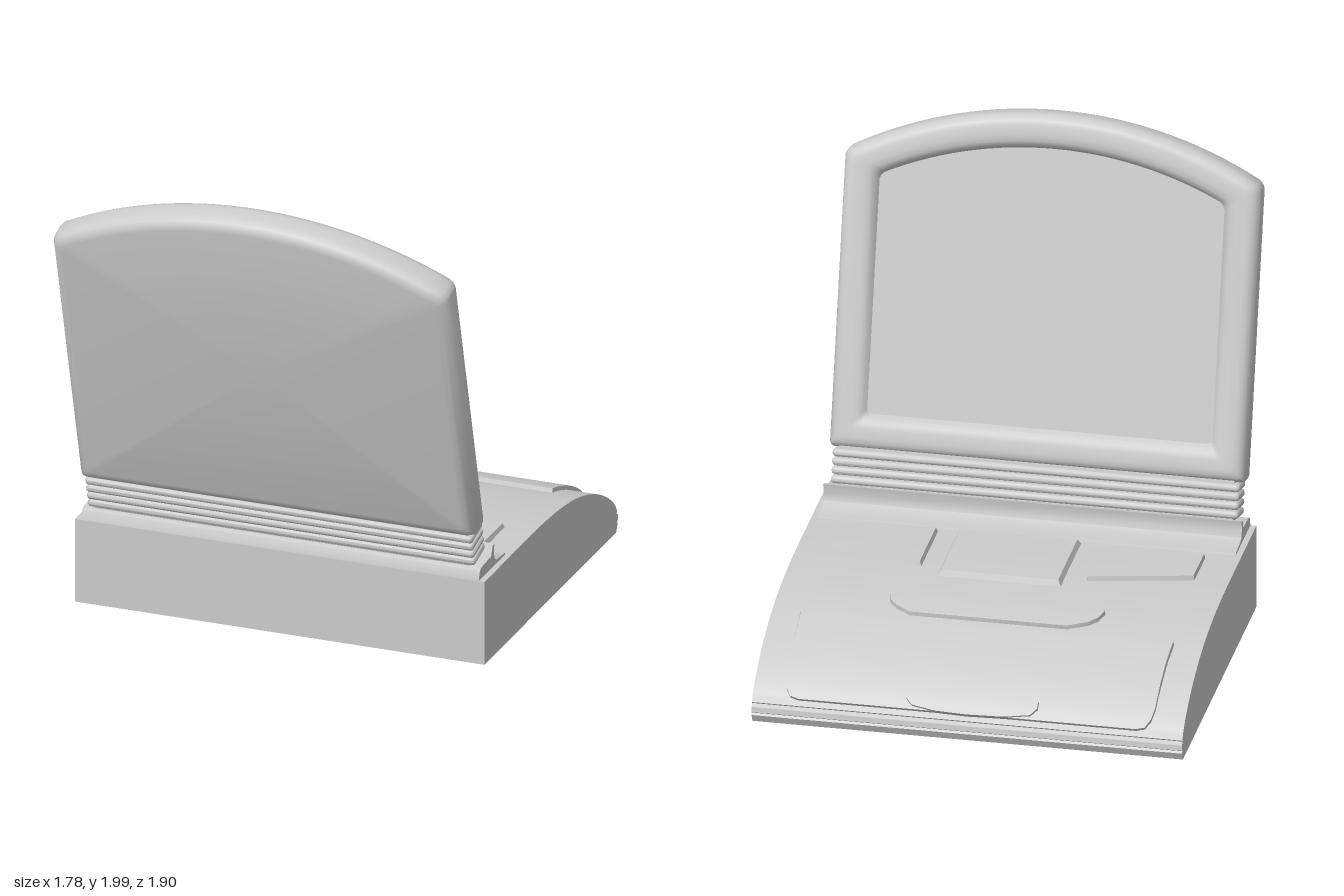
import * as THREE from 'three';
import { toCreasedNormals } from 'three/addons/utils/BufferGeometryUtils.js';
import { RoundedBoxGeometry } from 'three/addons/geometries/RoundedBoxGeometry.js';

const material = new THREE.MeshStandardMaterial({ color: 0xcccccc });

function add(parent, name, geometry, crease = 0.6) {
  const mesh = new THREE.Mesh(toCreasedNormals(geometry, crease), material);
  mesh.name = name;
  parent.add(mesh);
  return mesh;
}

// Side profile given as [z, y], extruded along x and centred
function extrudeX(points, width) {
  const shape = new THREE.Shape(points.map(([z, y]) => new THREE.Vector2(-z, y)));
  const g = new THREE.ExtrudeGeometry(shape, { depth: width, bevelEnabled: false });
  return g.translate(0, 0, -width / 2).rotateY(Math.PI / 2);
}

// Curved top of the base, from the hinge to the rounded far edge, as (z, y)
const deck = new THREE.CatmullRomCurve3([
  [0.54, 0.365], [0.2, 0.365], [-0.1, 0.364], [-0.35, 0.347], [-0.55, 0.31],
  [-0.72, 0.25], [-0.84, 0.184], [-0.91, 0.128], [-0.937, 0.09],
].map(([z, y]) => new THREE.Vector3(z, y, 0)), false, 'centripetal');

// Point on the deck at z, lifted along the surface normal
function onDeck(z, lift) {
  let a = 0, b = 1;
  for (let i = 0; i < 30; i++) {
    const m = (a + b) / 2;
    if (deck.getPoint(m).x > z) a = m; else b = m;
  }
  const p = deck.getPoint(a), t = deck.getTangent(a);
  return [p.x + t.y * lift, p.y - t.x * lift];
}

// Raised pad following the deck; columns are [x, far z, near z]
function pad(columns, height, bevel) {
  const n = columns.length - 1, rows = 16;
  const g = new THREE.BoxGeometry(1, 1, 1, n, 1, rows);
  const pos = g.attributes.position;
  const x0 = columns[0][0], x1 = columns[n][0];
  for (let i = 0; i < pos.count; i++) {
    const [x, far, near] = columns[Math.round((pos.getX(i) + 0.5) * n)];
    const top = pos.getY(i) > 0;
    const inset = top ? Math.min(bevel, (near - far) * 0.3) : 0;
    const z = THREE.MathUtils.lerp(far + inset, near - inset, pos.getZ(i) + 0.5);
    const px = top ? THREE.MathUtils.clamp(x, x0 + bevel, x1 - bevel) : x;
    const [dz, dy] = onDeck(z, top ? height : -0.02);
    pos.setXYZ(i, px, dy, dz);
  }
  return g;
}

// Arched lid outline, inset evenly from its edge
function lidOutline(inset) {
  const W = 0.863 - inset, R = 1.768 - inset, cy = -0.313, k = 0.02, q = k * 0.3;
  const pts = [[-W + k, inset], [W - k, inset], [W - q, inset + q], [W, inset + k]];
  const arcY = (x) => cy + Math.sqrt(R * R - x * x);
  pts.push([W, arcY(W) - k], [W - q, arcY(W) - q]);
  const steps = 32, e = W - k;
  for (let i = 0; i <= steps; i++) {
    const x = e - (2 * e * i) / steps;
    pts.push([x, arcY(x)]);
  }
  pts.push([-W + q, arcY(W) - q], [-W, arcY(W) - k], [-W, inset + k], [-W + q, inset + q]);
  return pts;
}

// Skin through lid outlines: each ring is [inset, depth], outer face to screen
function lidGeometry(rings) {
  const verts = [], index = [];
  let n = 0;
  for (const [inset, depth] of rings) {
    const outline = lidOutline(inset);
    n = outline.length;
    for (const [x, y] of outline) verts.push(x, y, depth);
  }
  const last = (rings.length - 1) * n, front = rings.length * n;
  verts.push(0, 0.7, rings[0][1], 0, 0.7, rings[rings.length - 1][1]);
  for (let j = 0; j < n; j++) {
    const k = (j + 1) % n;
    for (let r = 0; r < last; r += n) {
      index.push(r + j, r + n + j, r + k, r + k, r + n + j, r + n + k);
    }
    index.push(front, j, k, front + 1, last + k, last + j);
  }
  const g = new THREE.BufferGeometry();
  g.setAttribute('position', new THREE.Float32BufferAttribute(verts, 3));
  g.setIndex(index);
  return g;
}

export function createModel() {
  const model = new THREE.Group();
  model.name = 'consoleWithLid';

  // Base body with a grooved lip along the rounded edge
  const top = deck.getPoints(48).map((p) => [p.x, p.y]);
  add(model, 'base', extrudeX([[0.54, 0], ...top,
    [-0.928, 0.082], [-0.945, 0.072], [-0.948, 0.05], [-0.935, 0.042], [-0.942, 0.034], [-0.925, 0]], 1.785));

  // Curved front cover and its latch
  const cover = [[-0.775, -0.56, -0.52], [-0.765, -0.86, -0.52], [-0.755, -0.9, -0.52],
    [-0.735, -0.922, -0.52], [-0.7, -0.927, -0.52]];
  const mirrored = cover.map(([x, a, b]) => [-x, a, b]).reverse();
  add(model, 'frontCover', pad([...cover, ...mirrored], 0.018, 0.005));
  add(model, 'latch', pad([[-0.29, -0.9, -0.87], [-0.26, -0.918, -0.87], [-0.15, -0.926, -0.87],
    [0, -0.928, -0.87], [0.13, -0.926, -0.87], [0.23, -0.918, -0.87], [0.26, -0.9, -0.87]], 0.032, 0.004));

  // Grip bar with a swept outline
  add(model, 'gripBar', pad([[-0.455, -0.37, -0.355], [-0.435, -0.42, -0.355], [-0.4, -0.455, -0.355],
    [-0.32, -0.49, -0.355], [0.33, -0.49, -0.355], [0.39, -0.455, -0.355],
    [0.425, -0.42, -0.355], [0.44, -0.37, -0.355]], 0.018, 0.004));

  // Three control pads
  add(model, 'centrePad', pad([[-0.24, -0.185, 0.24], [-0.215, -0.185, 0.24],
    [0.265, -0.185, 0.24], [0.29, -0.185, 0.24]], 0.024, 0.022));
  add(model, 'rightPad', pad([[-0.755, -0.02, 0.205], [-0.745, -0.022, 0.205],
    [-0.33, -0.11, 0.205], [-0.32, -0.112, 0.205]], 0.02, 0.008));
  add(model, 'leftPad', pad([[0.355, -0.115, 0.23], [0.37, -0.11, 0.23],
    [0.755, -0.025, 0.23], [0.77, -0.02, 0.23]], 0.02, 0.014));

  // Hinge collar with a thin upright ridge
  add(model, 'hingeCollar', extrudeX([[0.54, 0.35], [0.538, 0.372], [0.525, 0.405], [0.505, 0.415],
    [0.4, 0.42], [0.385, 0.458], [0.365, 0.462], [0.37, 0.42], [0.36, 0.392], [0.34, 0.382],
    [0.25, 0.375], [0.24, 0.35]], 1.735));

  // Tilted lid, carried on a ribbed neck
  const lid = new THREE.Group();
  lid.name = 'lid';
  lid.position.set(0, 0.577, 0.505);
  lid.rotation.x = THREE.MathUtils.degToRad(15);
  model.add(lid);

  add(lid, 'neckCore', new THREE.BoxGeometry(1.64, 0.24, 0.1).translate(0, -0.075, -0.005));
  for (let i = 0; i < 4; i++) {
    const rib = new RoundedBoxGeometry(1.69, 0.034, 0.13, 3, 0.015);
    add(lid, 'neckRib', rib.translate(0, -0.02 - i * 0.037, -0.005));
  }
  add(lid, 'lidPanel', lidGeometry([
    [0.05, 0.08], [0.028, 0.075], [0.011, 0.06], [0.002, 0.04], [0, 0.025],
    [0, -0.03], [0.004, -0.046], [0.014, -0.064], [0.03, -0.076], [0.05, -0.08],
    [0.09, -0.08], [0.115, -0.076], [0.133, -0.064], [0.143, -0.047], [0.148, -0.04],
  ]));

  return model;
}
